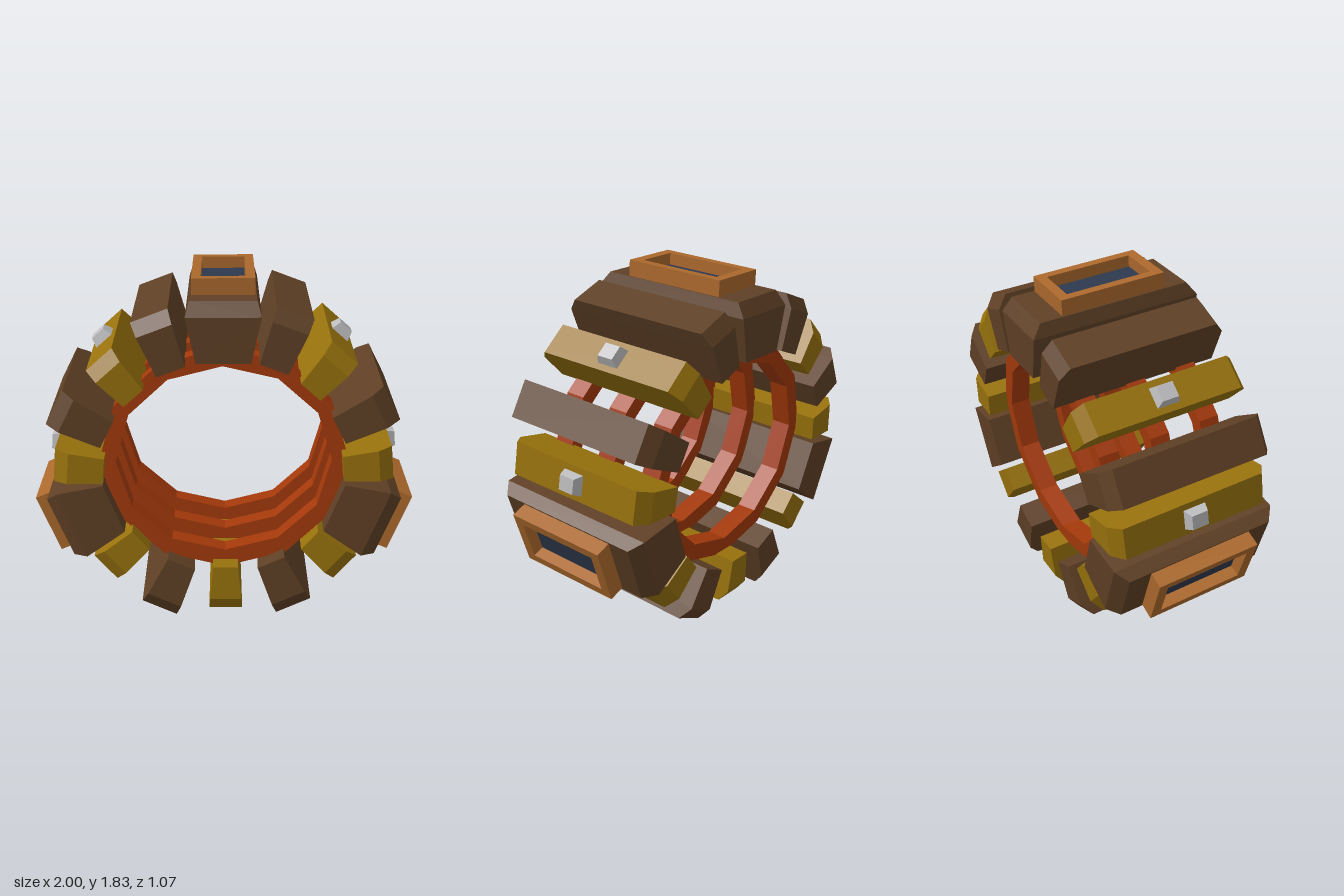
import * as THREE from 'three';
import { ConvexGeometry } from 'three/addons/geometries/ConvexGeometry.js';

const mat = (name, color) => {
  const m = new THREE.MeshStandardMaterial({ color });
  m.name = name;
  return m;
};

export function createModel() {
  const brown = mat('dark brown', 0x5f4025);
  const ochre = mat('ochre', 0x98720c);
  const rust = mat('rust orange', 0xa4390a);
  const tan = mat('tan', 0xac692c);
  const glass = mat('slate glass', 0x2e394e);
  const grey = mat('light grey', 0xbebec0);

  const add = (parent, geo, material, name, y = 0) => {
    const m = new THREE.Mesh(geo, material);
    m.name = name;
    m.position.y = y;
    parent.add(m);
    return m;
  };

  // Block from three rectangles: inner face, bevel line and outer face
  const slabGeometry = (wIn, wMid, wOut, h, len) => {
    const points = [];
    [[wIn, -h / 2, len], [wMid, h / 2 - 0.07, len], [wOut, h / 2, len - 0.1]].forEach(([w, y, l]) => {
      for (const sx of [-0.5, 0.5]) {
        for (const sz of [-0.5, 0.5]) points.push(new THREE.Vector3(sx * w, y, sz * l));
      }
    });
    return new ConvexGeometry(points);
  };

  const rect = (C, w, l) => {
    const s = new C();
    s.moveTo(-w / 2, -l / 2);
    s.lineTo(w / 2, -l / 2);
    s.lineTo(w / 2, l / 2);
    s.lineTo(-w / 2, l / 2);
    s.closePath();
    return s;
  };

  const kinds = {
    big: { name: 'wideBlock', h: 0.3, mat: brown, geo: slabGeometry(0.27, 0.37, 0.33, 0.3, 0.9) },
    dark: { name: 'brownBlock', h: 0.29, mat: brown, geo: slabGeometry(0.15, 0.185, 0.195, 0.29, 0.89) },
    gold: { name: 'ochreBlock', h: 0.25, mat: ochre, geo: slabGeometry(0.13, 0.162, 0.173, 0.25, 0.88) },
  };

  // Open frame around the glass, extruded outward
  const frameShape = rect(THREE.Shape, 0.315, 0.56);
  frameShape.holes.push(rect(THREE.Path, 0.222, 0.455));
  const frameGeo = new THREE.ExtrudeGeometry(frameShape, { depth: 0.085, bevelEnabled: false });
  frameGeo.rotateX(-Math.PI / 2);
  const glassGeo = new THREE.BoxGeometry(0.23, 0.008, 0.465);

  // Four-sided tapered stud
  const studGeo = new THREE.CylinderGeometry(0.042 * Math.SQRT2, 0.058 * Math.SQRT2, 0.05, 4, 1).toNonIndexed();
  studGeo.rotateY(Math.PI / 4).scale(0.92, 1, 1.05);
  studGeo.computeVertexNormals();

  const ring = new THREE.Group();
  ring.name = 'ring';

  // Three twelve-sided hoops
  const hoopPoints = (rx, ry) => Array.from({ length: 12 }, (_, i) => {
    const t = THREE.MathUtils.degToRad(i * 30 + 0.5);
    return new THREE.Vector2(rx * Math.cos(t), ry * Math.sin(t) - 0.012);
  });
  const hoopShape = new THREE.Shape(hoopPoints(0.635, 0.59));
  hoopShape.holes.push(new THREE.Path(hoopPoints(0.55, 0.497)));
  const hoopGeo = new THREE.ExtrudeGeometry(hoopShape, { depth: 0.105, bevelEnabled: false });
  hoopGeo.translate(0, 0, -0.0525);
  [-0.28, 0, 0.28].forEach((z) => {
    add(ring, hoopGeo, rust, 'hoop').position.z = z;
  });

  // Sixteen blocks, clockwise from the top: outer radius, shift in degrees
  const blocks = [
    [0.84, 0], [0.855, -2.6], [0.832, -2], [0.9, -3],
    [0.86, -0.8], [0.915, 0], [0.862, 2], [0.887, 1.8],
    [0.822, 0.6], [0.887, 0], [0.852, -1.5], [0.915, 0],
    [0.864, 1.5], [0.902, 4.5], [0.825, 4.7], [0.85, 3.8],
  ];
  blocks.forEach(([r, shift], i) => {
    const isBig = i === 0 || i === 5 || i === 11;
    const k = kinds[isBig ? 'big' : i % 2 ? 'dark' : 'gold'];
    const t = Math.PI / 2 - (i * Math.PI) / 8;
    const at = t + THREE.MathUtils.degToRad(shift);
    const lean = isBig ? 0 : 0.085 * Math.cos(t);
    const g = new THREE.Group();
    g.name = k.name;
    g.position.set(Math.cos(at), Math.sin(at), 0).multiplyScalar(r - k.h / 2);
    g.rotation.set(0.025, 0, t + lean - Math.PI / 2, 'ZXY');
    add(g, k.geo, k.mat, k.name + 'Body');
    if (isBig) {
      add(g, frameGeo, tan, 'windowFrame', k.h / 2 - 0.002);
      add(g, glassGeo, glass, 'windowGlass', k.h / 2 + 0.018);
    } else if (k === kinds.gold) {
      add(g, studGeo, grey, 'stud', k.h / 2 + 0.024);
    }
    ring.add(g);
  });

  // Tilt of the whole ring
  ring.quaternion.setFromUnitVectors(
    new THREE.Vector3(0, 0, 1),
    new THREE.Vector3(-0.078, 0.078, 1).normalize(),
  );
  ring.position.y = 0.9;

  const model = new THREE.Group();
  model.name = 'model';
  model.add(ring);

  // Rest on the ground and centre
  model.updateMatrixWorld(true);
  const box = new THREE.Box3().setFromObject(model, true);
  const c = box.getCenter(new THREE.Vector3());
  ring.position.x -= c.x;
  ring.position.z -= c.z;
  ring.position.y -= box.min.y;
  return model;
}
